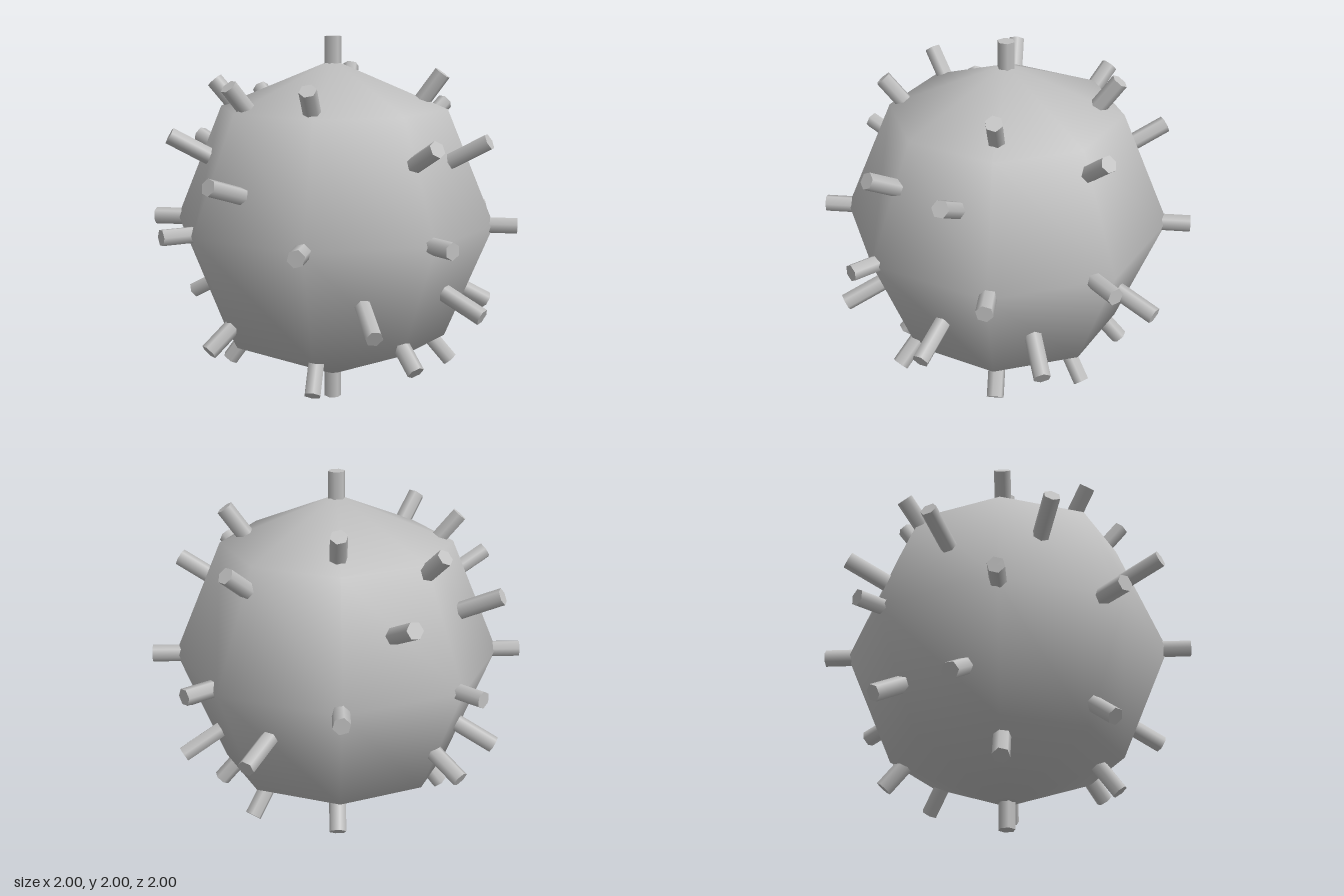
import * as THREE from 'three';

export function createModel() {
  const model = new THREE.Group();
  model.name = 'spikedBall';
  const grey = new THREE.MeshStandardMaterial({ color: 0xc0c0c0 });
  grey.name = 'grey';

  // Faceted ball with eight segments and smooth normals
  const body = new THREE.Mesh(new THREE.SphereGeometry(0.875, 8, 4), grey);
  body.name = 'body';
  body.position.y = 1;
  model.add(body);

  // Six-sided studs pointing outward, ending at radius 1
  const inner = 0.7;
  const studGeometry = new THREE.CylinderGeometry(0.046, 0.046, 1 - inner, 6);
  studGeometry.translate(0, (1 + inner) / 2, 0);
  const up = new THREE.Vector3(0, 1, 0);
  const addStud = (x, y, z) => {
    const stud = new THREE.Mesh(studGeometry, grey);
    stud.name = 'stud';
    stud.position.y = 1;
    stud.quaternion.setFromUnitVectors(up, new THREE.Vector3(x, y, z).normalize());
    model.add(stud);
  };

  // Studs that have a partner on the opposite side of the ball
  const paired = [
    [0, 1, 0], [0, 0, 1], [0.99, 0, 0.11],
    [0.71, 0, 0.7], [0.71, 0, -0.7],
    [0, 0.48, 0.87], [0, -0.68, 0.73],
    [0.45, 0.48, 0.76], [-0.92, 0.3, 0.25], [-0.78, 0.48, -0.39],
    [0.79, 0.61, 0], [-0.65, 0.76, 0],
    [-0.47, 0.76, 0.45], [-0.47, 0.76, -0.45],
    [0.42, 0.81, 0.41], [0.42, 0.81, -0.41],
    [0.35, -0.42, 0.84], [-0.35, -0.42, 0.84],
  ];
  for (const [x, y, z] of paired) {
    addStud(x, y, z);
    addStud(-x, -y, -z);
  }
  return model;
}
